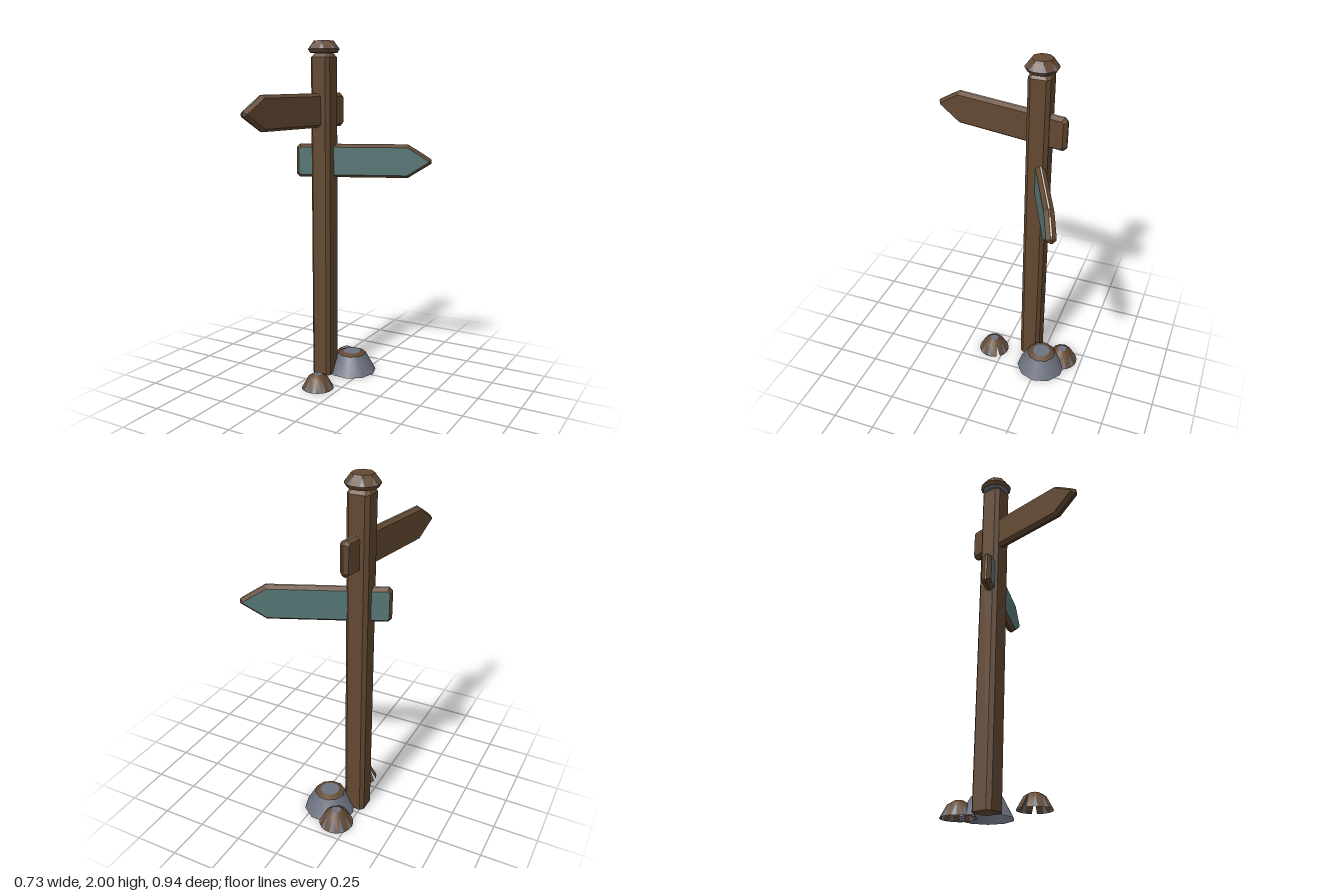
import * as THREE from 'three';
import { mergeVertices } from 'three/addons/utils/BufferGeometryUtils.js';

const material = (name, color) => Object.assign(new THREE.MeshStandardMaterial({ color }), { name });

// Geometry from a list of triangle corners, smooth or flat
function fromPoints(points, smooth) {
  let g = new THREE.BufferGeometry().setFromPoints(points);
  if (smooth) g = mergeVertices(g, 1e-4);
  g.computeVertexNormals();
  return g;
}

const polar = (r, y, a) => new THREE.Vector3(r * Math.cos(a), y, r * Math.sin(a));

// Dome of n-sided rings (top first); the lowest band alternates panels and narrow wedges
function dome(name, { n, rings, half, offset = 0, skip = [], base, smooth, body, wedge, top }) {
  const group = new THREE.Group();
  group.name = name;
  const sides = [], wedges = [], disc = [];
  const quad = (list, a, b, c, d) => list.push(a, b, c, b, d, c);
  const [rimR, rimY] = rings[rings.length - 1];
  const [inR, inY] = rings[rings.length - 2];
  for (let i = 0; i < n; i++) {
    const a = offset + (i / n) * Math.PI * 2;
    const b = a + (Math.PI * 2) / n;
    disc.push(new THREE.Vector3(0, rings[0][1], 0), polar(...rings[0], b), polar(...rings[0], a));
    for (let k = 0; k < rings.length - 2; k++) {
      const u = rings[k], l = rings[k + 1];
      quad(sides, polar(...u, a), polar(...u, b), polar(...l, a), polar(...l, b));
    }
    quad(sides, polar(inR, inY, a), polar(inR, inY, b), polar(rimR, rimY, a + half), polar(rimR, rimY, b - half));
    if (!skip.includes(i)) {
      wedges.push(polar(inR, inY, a), polar(rimR, rimY, a + half), polar(rimR, rimY, a - half));
    }
    // Tapered skirt and underside
    if (base) {
      for (const [s, e] of [[a - half, a + half], [a + half, b - half]]) {
        quad(sides, polar(rimR, rimY, s), polar(rimR, rimY, e), polar(...base, s), polar(...base, e));
        wedges.push(new THREE.Vector3(0, base[1], 0), polar(...base, s), polar(...base, e));
      }
    }
  }
  const add = (part, points, mat, soft) => {
    const mesh = new THREE.Mesh(fromPoints(points, soft), mat);
    mesh.name = part;
    group.add(mesh);
  };
  add(name + 'Sides', sides, body, smooth);
  add(name + 'Wedges', wedges, wedge, false);
  add(name + 'Top', disc, top, false);
  return group;
}

// Square post with chamfered corners and a chamfered top
function postGeometry() {
  const ring = (h, c, y) => [[h, c], [c, h], [-c, h], [-h, c], [-h, -c], [-c, -h], [c, -h], [h, -c]]
    .map(([x, z]) => new THREE.Vector3(x, y, z));
  const levels = [ring(0.045, 0.028, 1.93), ring(0.062, 0.042, 1.907), ring(0.062, 0.042, 0)];
  const pts = [];
  for (let i = 0; i < 8; i++) {
    const j = (i + 1) % 8;
    for (let k = 0; k < 2; k++) {
      const u = levels[k], l = levels[k + 1];
      pts.push(u[i], u[j], l[i], u[j], l[j], l[i]);
    }
    pts.push(new THREE.Vector3(0, 1.93, 0), levels[0][j], levels[0][i]);
    pts.push(new THREE.Vector3(0, 0, 0), levels[2][i], levels[2][j]);
  }
  return fromPoints(pts, false);
}

// Arrow board along +x, bevelled to a narrow rim, with a pale line on its upper edge
function arrowBoard(name, tip, faceMat, edgeMat, lineMat) {
  const group = new THREE.Group();
  group.name = name;
  const h = 0.097, tail = -0.163, shoulder = tip - 0.135, c = 0.02;
  const outline = [
    [tail, -h + c], [tail + c, -h], [shoulder, -h], [tip, -0.012],
    [tip, 0.012], [shoulder, h], [tail + c, h], [tail, h - c],
  ].map(([x, y]) => new THREE.Vector2(x, y));
  const geo = new THREE.ExtrudeGeometry(new THREE.Shape(outline), {
    depth: 0.01, bevelEnabled: true, bevelThickness: 0.022, bevelSize: 0.016, bevelOffset: -0.016, bevelSegments: 1,
  });
  geo.translate(0, 0, -0.005);
  const board = new THREE.Mesh(geo, [faceMat, edgeMat]);
  board.name = name + 'Board';
  group.add(board);

  const slope = (x) => h + ((x - shoulder) / (tip - shoulder)) * (0.012 - h);
  for (const [x0, x1] of [[-0.14, shoulder - 0.012], [shoulder + 0.035, tip - 0.015]]) {
    const y0 = Math.min(h, slope(x0)), y1 = Math.min(h, slope(x1));
    const line = new THREE.Mesh(new THREE.BoxGeometry(Math.hypot(x1 - x0, y1 - y0), 0.003, 0.008), lineMat);
    line.position.set((x0 + x1) / 2, (y0 + y1) / 2, 0);
    line.rotation.z = Math.atan2(y1 - y0, x1 - x0);
    line.name = name + 'EdgeLine';
    group.add(line);
  }
  return group;
}

export function createModel() {
  const wood = material('brown wood', 0x634932);
  const stone = material('grey stone', 0x6c7280);
  const teal = material('teal paint', 0x577876);
  const cream = material('cream line', 0xdcd6c8);
  // Stones are open shells, seen from inside as well
  for (const mat of [wood, stone]) mat.side = THREE.DoubleSide;

  const model = new THREE.Group();
  model.name = 'signpost';
  const place = (object, x, y, z) => {
    object.position.set(x, y, z);
    model.add(object);
    return object;
  };

  // Post and cap
  const post = new THREE.Mesh(postGeometry(), wood);
  post.name = 'post';
  place(post, -0.21, 0, -0.163);
  place(dome('cap', {
    n: 8, rings: [[0.058, 2], [0.066, 1.988], [0.091, 1.953]], half: 0.14, offset: Math.PI / 8,
    base: [0.078, 1.932], body: wood, wedge: stone, top: wood,
  }), -0.212, 0, -0.163);

  // Two arrow boards
  place(arrowBoard('upperSign', 0.642, wood, wood, cream), -0.213, 1.607, -0.163).rotation.y = -1.747;
  place(arrowBoard('lowerSign', 0.625, teal, wood, cream), -0.212, 1.315, -0.165).rotation.y = 0.415;

  // Small stones
  const pebble = { n: 10, half: 0.14, smooth: true, body: wood, wedge: stone, top: stone };
  place(dome('frontStone', {
    ...pebble, rings: [[0.026, 0.085], [0.058, 0.066], [0.094, 0]], skip: [5, 9],
  }), -0.125, 0, 0.068);
  place(dome('backStone', {
    ...pebble, rings: [[0.028, 0.09], [0.06, 0.07], [0.098, 0]], offset: 0.15,
  }), -0.177, 0, -0.375);

  // Large stone with a brown ring around its top
  const large = new THREE.Group();
  large.name = 'largeStone';
  const bands = [
    ['largeStoneSide', 0.087, 0.112, 0.149, 0, stone],
    ['largeStoneRing', 0.055, 0.125, 0.087, 0.112, wood],
    ['largeStoneTop', 0, 0.125, 0.055, 0.125, stone],
  ];
  for (const [name, r0, y0, r1, y1, mat] of bands) {
    const profile = [new THREE.Vector2(r1, y1), new THREE.Vector2(r0, y0)];
    const band = new THREE.Mesh(new THREE.LatheGeometry(profile, 10, 0.3), mat);
    band.name = name;
    large.add(band);
  }
  place(large, -0.08, 0, -0.267);

  return model;
}
